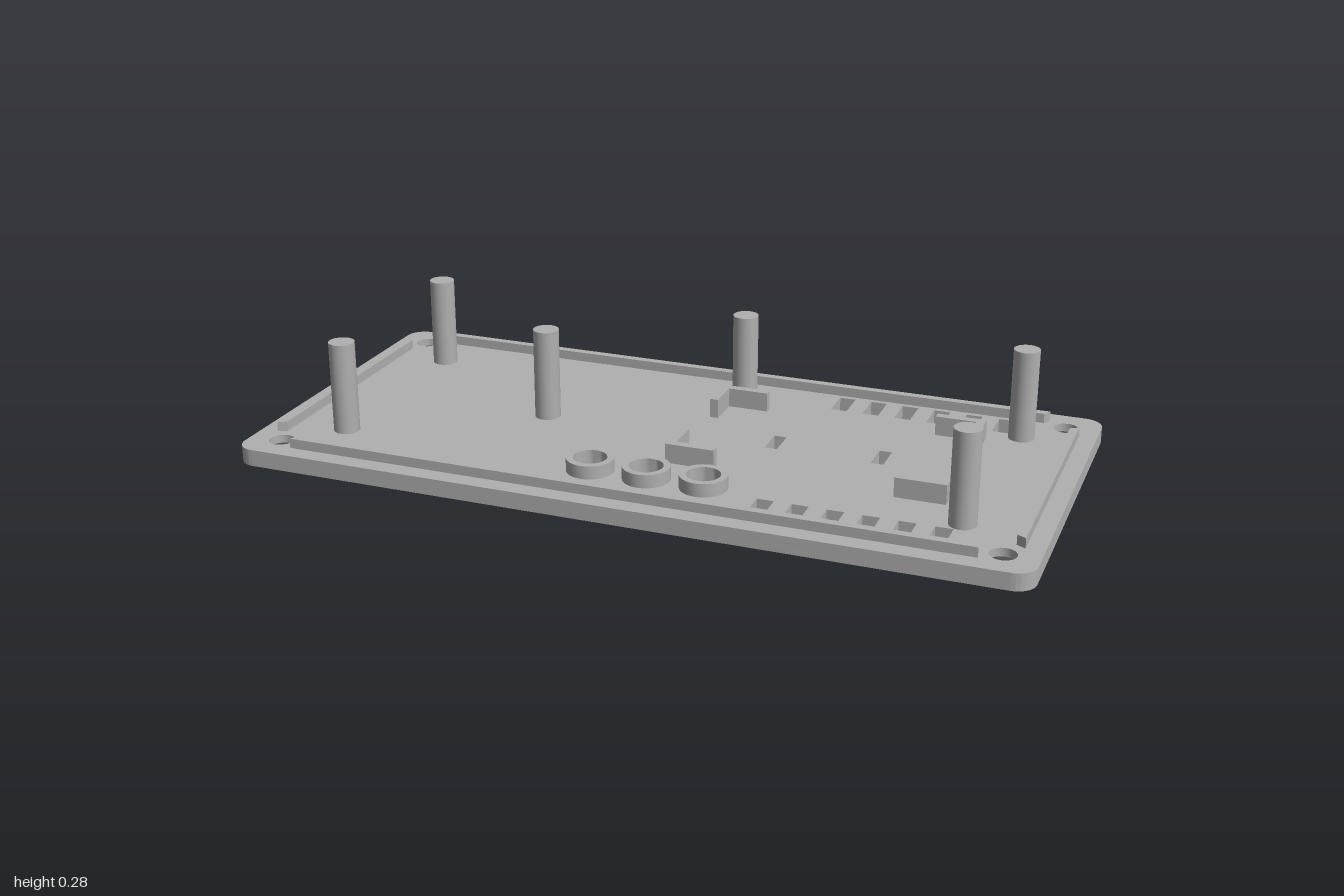
import * as THREE from 'three';
import { toCreasedNormals } from 'three/addons/utils/BufferGeometryUtils.js';

const LENGTH = 2, WIDTH = 0.95, CORNER = 0.05;
const PLATE_TOP = 0.043, SINK_TOP = 0.022;
const SCREW_R = 0.032, SINK_R = 0.055;

export function createModel() {
  const model = new THREE.Group();
  const grey = new THREE.MeshStandardMaterial({ color: 0xb0b0b0 });
  grey.name = 'grey plastic';

  const add = (name, geometry, x = 0, y = 0, z = 0) => {
    const mesh = new THREE.Mesh(geometry, grey);
    mesh.name = name;
    mesh.position.set(x, y, z);
    model.add(mesh);
    return mesh;
  };

  // Extrudes an outline drawn in x and z between two heights
  const slab = (shape, bottom, top) => {
    const g = new THREE.ExtrudeGeometry(shape, { depth: top - bottom, bevelEnabled: false, curveSegments: 16 });
    g.rotateX(Math.PI / 2).translate(0, top, 0);
    return toCreasedNormals(g, 0.6);
  };
  const polygon = (points) => new THREE.Shape(points.map(([x, z]) => new THREE.Vector2(x, z)));
  const circle = (x, z, r) => new THREE.Path().absarc(x, z, r, 0, Math.PI * 2, true);
  const slot = (x, z, w, d) => new THREE.Path([
    new THREE.Vector2(x - w / 2, z - d / 2), new THREE.Vector2(x - w / 2, z + d / 2),
    new THREE.Vector2(x + w / 2, z + d / 2), new THREE.Vector2(x + w / 2, z - d / 2),
    new THREE.Vector2(x - w / 2, z - d / 2),
  ]);

  const screws = [];
  for (const sx of [-1, 1]) for (const sz of [-1, 1]) screws.push([sx * 0.915, sz * 0.39]);
  const buttons = [-0.115, 0.031, 0.177];
  const BUTTON_Z = 0.287, BUTTON_R = 0.042;

  // Rounded plate outline with screw holes, vents, slots and button holes
  const plateShape = (screwRadius) => {
    const s = new THREE.Shape();
    const a = LENGTH / 2 - CORNER, b = WIDTH / 2 - CORNER;
    s.absarc(a, b, CORNER, 0, Math.PI / 2);
    s.absarc(-a, b, CORNER, Math.PI / 2, Math.PI);
    s.absarc(-a, -b, CORNER, Math.PI, Math.PI * 1.5);
    s.absarc(a, -b, CORNER, Math.PI * 1.5, Math.PI * 2);
    s.closePath();
    for (const [x, z] of screws) s.holes.push(circle(x, z, screwRadius));
    for (const x of buttons) s.holes.push(circle(x, BUTTON_Z, BUTTON_R));
    for (let i = 0; i < 6; i++)
      for (const z of [-0.348, 0.348]) s.holes.push(slot(0.337 + i * 0.0852, z, 0.042, 0.088));
    for (const x of [0.251, 0.524]) s.holes.push(slot(x, -0.037, 0.032, 0.082));
    return s;
  };
  add('plateUpper', slab(plateShape(SCREW_R), SINK_TOP, PLATE_TOP));
  add('plateLower', slab(plateShape(SINK_R), 0, SINK_TOP));

  // Countersinks: conical walls facing the hole axis
  const sink = new THREE.LatheGeometry(
    [new THREE.Vector2(SCREW_R, SINK_TOP), new THREE.Vector2(SINK_R, 0)], 32);
  for (const [x, z] of screws) add('countersink', sink, x, 0, z);

  // Locating ribs along the four edges, with mitred ends
  const rib = (half, outer) => slab(
    polygon([[-half, outer], [half, outer], [half - 0.012, outer - 0.022], [-half + 0.012, outer - 0.022]]),
    PLATE_TOP - 0.005, 0.068);
  const ribs = [[0.867, 0.428, 0], [0.345, 0.955, 1], [0.867, 0.428, 2], [0.345, 0.955, 3]];
  for (const [half, outer, turn] of ribs)
    add('edgeRib', rib(half, outer)).rotation.y = turn * Math.PI / 2;

  // Tall round posts
  const POST_TOP = 0.28, postHeight = POST_TOP - PLATE_TOP + 0.005;
  const post = new THREE.CylinderGeometry(0.033, 0.033, postHeight, 32);
  const posts = [[-0.797, -0.272], [-0.797, 0.27], [-0.358, 0], [0.083, -0.288], [0.82, -0.288], [0.797, 0.27]];
  for (const [x, z] of posts) add('post', post, x, POST_TOP - postHeight / 2, z);

  // Raised collars around the button holes
  const collar = new THREE.Shape().absarc(0, 0, 0.059, 0, Math.PI * 2);
  collar.holes.push(circle(0, 0, BUTTON_R));
  const collarGeometry = slab(collar, PLATE_TOP - 0.003, 0.077);
  for (const x of buttons) add('buttonCollar', collarGeometry, x, 0, BUTTON_Z);

  // L-shaped corner brackets; the arms run inward from each outer corner
  const T = 0.022, ARM_X = 0.126, ARM_Z = 0.11;
  for (const [x, sx] of [[0.038, 1], [0.738, -1]])
    for (const [z, sz] of [[-0.25, 1], [0.181, -1]]) {
      const outline = [[0, 0], [ARM_X, 0], [ARM_X, T], [T, T], [T, ARM_Z], [0, ARM_Z]]
        .map(([u, v]) => [x + sx * u, z + sz * v]);
      add('cornerBracket', slab(polygon(outline), PLATE_TOP - 0.005, 0.093));
    }

  return model;
}
